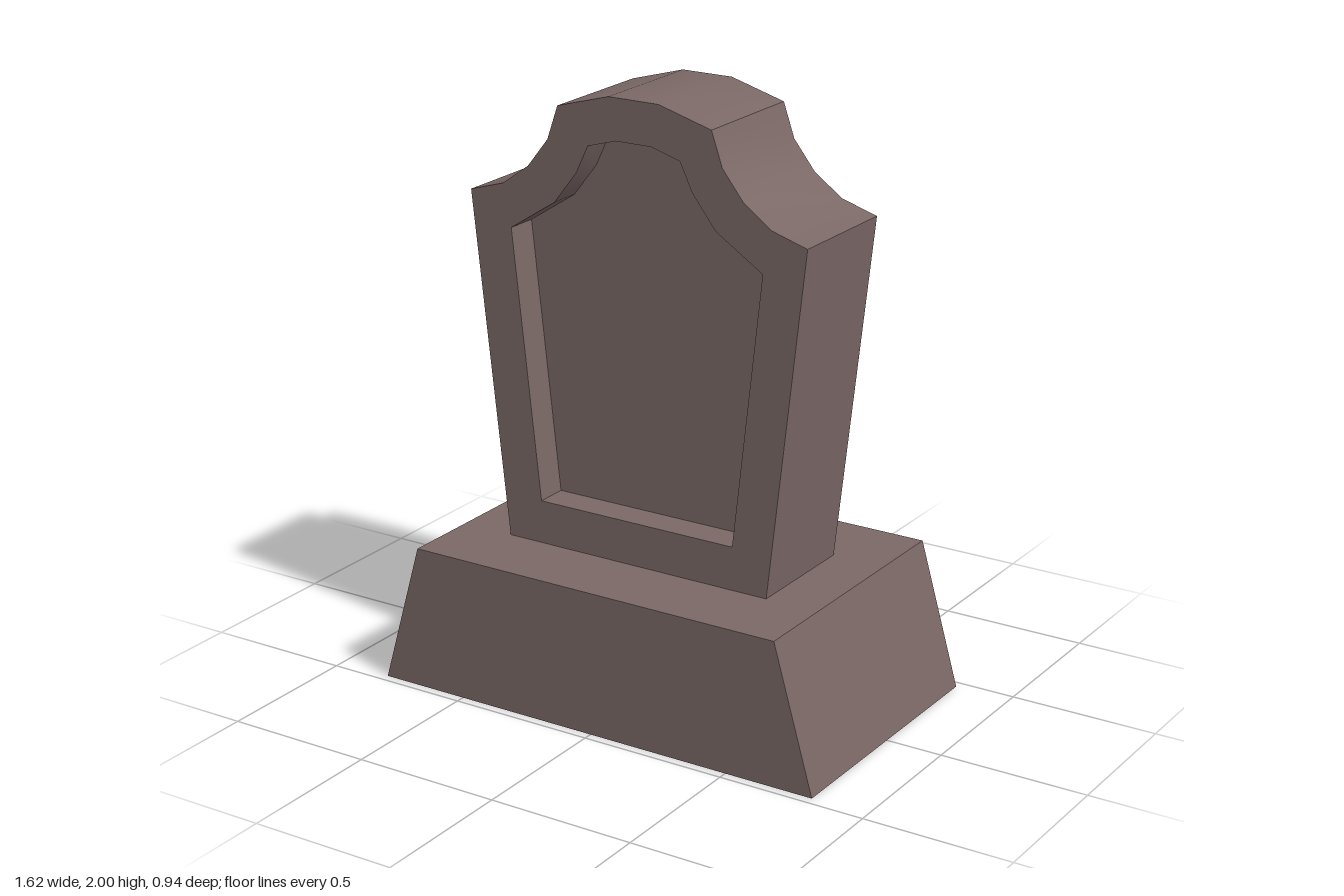
import * as THREE from 'three';
import { mergeGeometries, toCreasedNormals } from 'three/addons/utils/BufferGeometryUtils.js';

// Right half of an outline (bottom to top), mirrored into a full counter-clockwise loop
function mirrored(half) {
  const left = half.map(([x, y]) => [-x, y]).reverse();
  return [...half, ...left].map(([x, y]) => new THREE.Vector2(x, y));
}

// Side wall following a closed loop from z0 to z1
function wall(loop, z0, z1) {
  const pos = [];
  loop.forEach((a, i) => {
    const b = loop[(i + 1) % loop.length];
    pos.push(a.x, a.y, z0, b.x, b.y, z0, b.x, b.y, z1);
    pos.push(a.x, a.y, z0, b.x, b.y, z1, a.x, a.y, z1);
  });
  const geo = new THREE.BufferGeometry();
  geo.setAttribute('position', new THREE.Float32BufferAttribute(pos, 3));
  geo.computeVertexNormals();
  return geo;
}

// Flat face filling a loop, optionally with an opening
function face(loop, z, hole) {
  const shape = new THREE.Shape(loop);
  if (hole) shape.holes.push(new THREE.Path(hole));
  const geo = new THREE.ShapeGeometry(shape).toNonIndexed();
  geo.deleteAttribute('uv');
  return geo.translate(0, 0, z);
}

export function createModel() {
  const model = new THREE.Group();
  model.name = 'gravestone';
  const stone = new THREE.MeshStandardMaterial({ color: 0x7a6866 });
  stone.name = 'stone';

  // Plinth with sloping ends
  const plinthLoop = mirrored([[0.808, 0], [0.668, 0.485]]);
  const plinthGeo = new THREE.ExtrudeGeometry(new THREE.Shape(plinthLoop), { depth: 0.94, bevelEnabled: false });
  const plinth = new THREE.Mesh(plinthGeo.translate(0, 0, -0.47), stone);
  plinth.name = 'plinth';
  model.add(plinth);

  // Headstone with scooped shoulders and a recessed front panel
  const outline = mirrored([
    [0.485, 0.485], [0.613, 1.633], [0.49, 1.67], [0.392, 1.74],
    [0.317, 1.835], [0.278, 1.947], [0.09, 2],
  ]);
  const panel = mirrored([
    [0.36, 0.63], [0.46, 1.53], [0.294, 1.637], [0.21, 1.745], [0.167, 1.835], [0.063, 1.865],
  ]);
  const front = 0.21, recess = 0.1, back = -0.21;
  const parts = [
    wall(outline, back, front),
    face(outline, front, panel),
    wall([...panel].reverse(), recess, front),
    face(panel, recess),
    face(outline, -back).rotateY(Math.PI),
  ];
  const headstone = new THREE.Mesh(toCreasedNormals(mergeGeometries(parts), 0.56), stone);
  headstone.name = 'headstone';
  model.add(headstone);

  return model;
}
